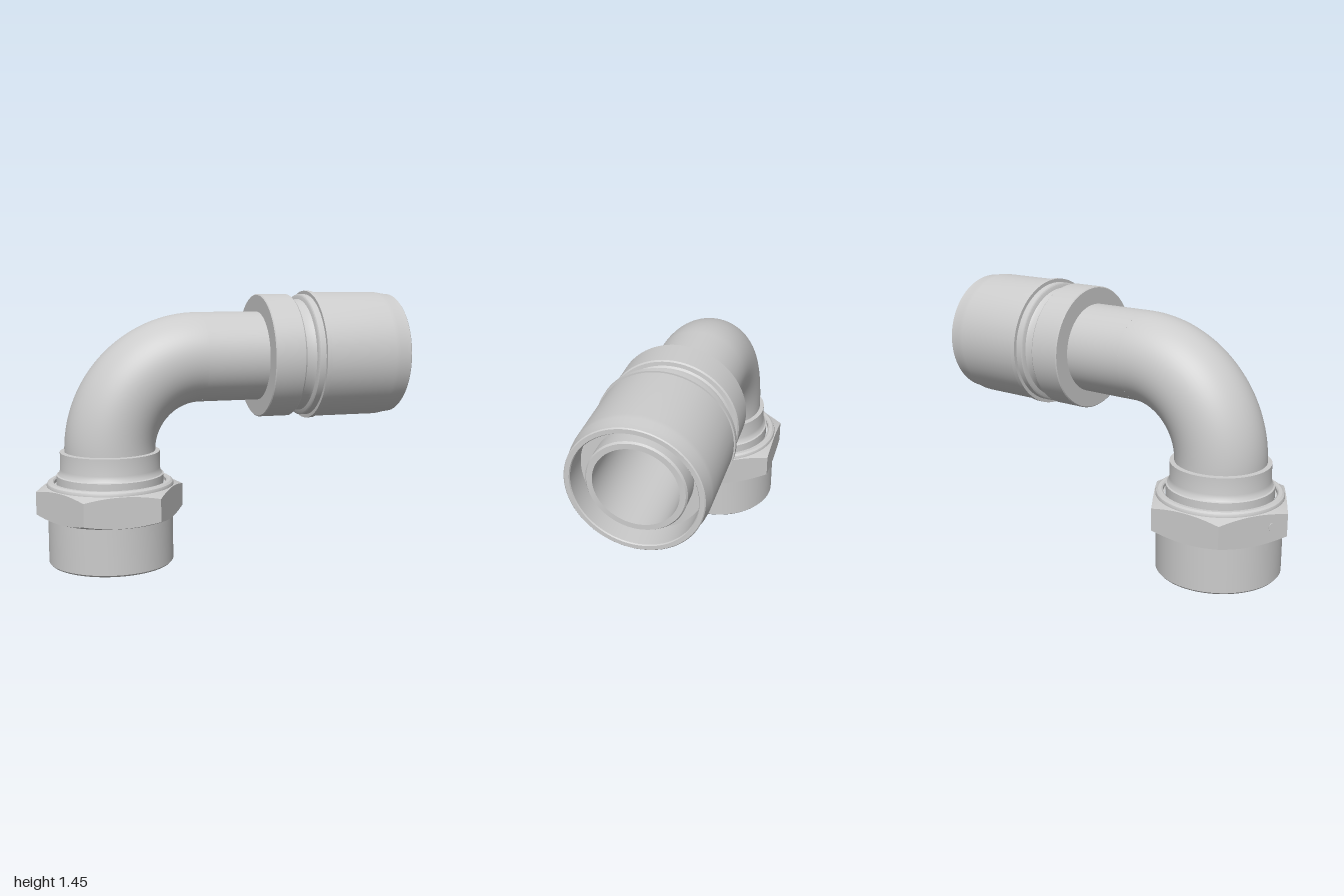
import * as THREE from 'three';
import { toCreasedNormals } from 'three/addons/utils/BufferGeometryUtils.js';

const AXIS_X = -0.61;   // vertical fitting axis
const AXIS_Y = 1.095;   // horizontal fitting axis
const BEND = 0.49;      // centreline bend radius
const PIPE_R = 0.243;
const BORE_R = 0.208;
const HEX_A = 0.346;    // nut half width across flats

const material = new THREE.MeshStandardMaterial({ color: 0xcccccc });
const innerMaterial = new THREE.MeshStandardMaterial({ color: 0xcccccc, side: THREE.BackSide });

// Revolve [radius, height] pairs; outside runs upward, inside runs downward
function revolve(points, segments = 96) {
  return new THREE.LatheGeometry(points.map(([r, h]) => new THREE.Vector2(r, h)), segments);
}

function addMesh(group, name, geometry, mat = material) {
  const mesh = new THREE.Mesh(geometry, mat);
  mesh.name = name;
  group.add(mesh);
  return mesh;
}

// Lathe part standing on the vertical axis
function addUpright(group, name, points) {
  const mesh = addMesh(group, name, toCreasedNormals(revolve(points), 0.45));
  mesh.position.x = AXIS_X;
  return mesh;
}

// Lathe part lying on the horizontal axis, heights read as x
function addLying(group, name, points) {
  const geometry = revolve(points).rotateZ(-Math.PI / 2);
  const mesh = addMesh(group, name, toCreasedNormals(geometry, 0.45));
  mesh.position.y = AXIS_Y;
  return mesh;
}

// Hexagon with chamfered corners: a lathe whose middle rows are pushed out to the flats
function hexGeometry() {
  const geometry = revolve([[0.33, 0.25], [0.341, 0.254], [0.5, 0.256], [0.5, 0.42], [0.341, 0.422], [0.29, 0.422]], 72);
  const pos = geometry.attributes.position;
  const step = Math.PI / 3;
  for (let i = 0; i < pos.count; i++) {
    const x = pos.getX(i), y = pos.getY(i), z = pos.getZ(i);
    if (Math.hypot(x, z) < 0.4) continue;
    const angle = Math.atan2(x, z);
    const r = HEX_A / Math.cos(angle - Math.round(angle / step) * step);
    const drop = (r - HEX_A) * 0.4;
    pos.setXYZ(i, r * Math.sin(angle), y > 0.34 ? y - drop : y + drop, r * Math.cos(angle));
  }
  return toCreasedNormals(geometry, 0.3);
}

export function createModel() {
  const group = new THREE.Group();
  group.name = 'elbowFitting';

  // Quarter bend, outside and bore
  for (const [name, r, mat] of [['pipeBend', PIPE_R, material], ['pipeBendBore', BORE_R, innerMaterial]]) {
    const bend = new THREE.TorusGeometry(BEND, r, 64, 48, Math.PI / 2).rotateZ(Math.PI / 2);
    addMesh(group, name, bend, mat).position.set(AXIS_X + BEND, AXIS_Y - BEND, 0);
  }

  // Straight pipe running through the socket
  addLying(group, 'straightPipe', [
    [PIPE_R, AXIS_X + BEND], [PIPE_R, 0.96], [0.236, 0.97], [BORE_R, 0.97], [BORE_R, AXIS_X + BEND],
  ]);

  // Crimped socket with collar, groove, rib and tapered mouth
  addLying(group, 'socket', [
    [PIPE_R, 0.215], [0.333, 0.215], [0.338, 0.22], [0.338, 0.38], [0.332, 0.388],
    [0.312, 0.39], [0.304, 0.4], [0.304, 0.44], [0.31, 0.453], [0.33, 0.458],
    [0.336, 0.463], [0.336, 0.496], [0.355, 0.496], [0.355, 0.522], [0.347, 0.522],
    [0.347, 0.9], [0.345, 0.925], [0.338, 0.96], [0.335, 0.995], [0.33, 1.0],
    [0.308, 1.0], [0.304, 0.994], [0.304, 0.86], [PIPE_R, 0.86],
  ]);

  // Stepped collar welded to the lower pipe end, with conical seat inside
  addUpright(group, 'pipeCollar', [
    [0.29, 0.25], [0.287, 0.4], [0.287, 0.478], [0.279, 0.482], [0.271, 0.494], [0.267, 0.512],
    [0.267, 0.602], [PIPE_R - 0.005, 0.602], [BORE_R, 0.605], [BORE_R, 0.38], [0.285, 0.22],
    [0.29, 0.25],
  ]);

  // Union nut: sleeve, hexagon and top ring
  addUpright(group, 'nutSleeve', [
    [0.305, 0.005], [0.31, 0], [0.328, 0], [0.336, 0.009], [0.336, 0.255],
    [0.285, 0.255], [0.285, 0.22], [0.305, 0.22], [0.305, 0.005],
  ]);
  addMesh(group, 'nutHexagon', hexGeometry()).position.x = AXIS_X;
  addUpright(group, 'nutTopRing', [
    [0.34, 0.42], [0.34, 0.428], [0.336, 0.438], [0.325, 0.446], [0.307, 0.446],
    [0.3, 0.44], [0.3, 0.415],
  ]);

  // Small round mark on one rear flat
  const mark = addMesh(group, 'nutMark', new THREE.CylinderGeometry(0.022, 0.022, 0.008, 24));
  const normal = new THREE.Vector3(-Math.cos(Math.PI / 6), 0, -0.5);
  mark.quaternion.setFromUnitVectors(new THREE.Vector3(0, 1, 0), normal);
  mark.position.set(AXIS_X - 0.354, 0.345, -0.077);

  return group;
}
